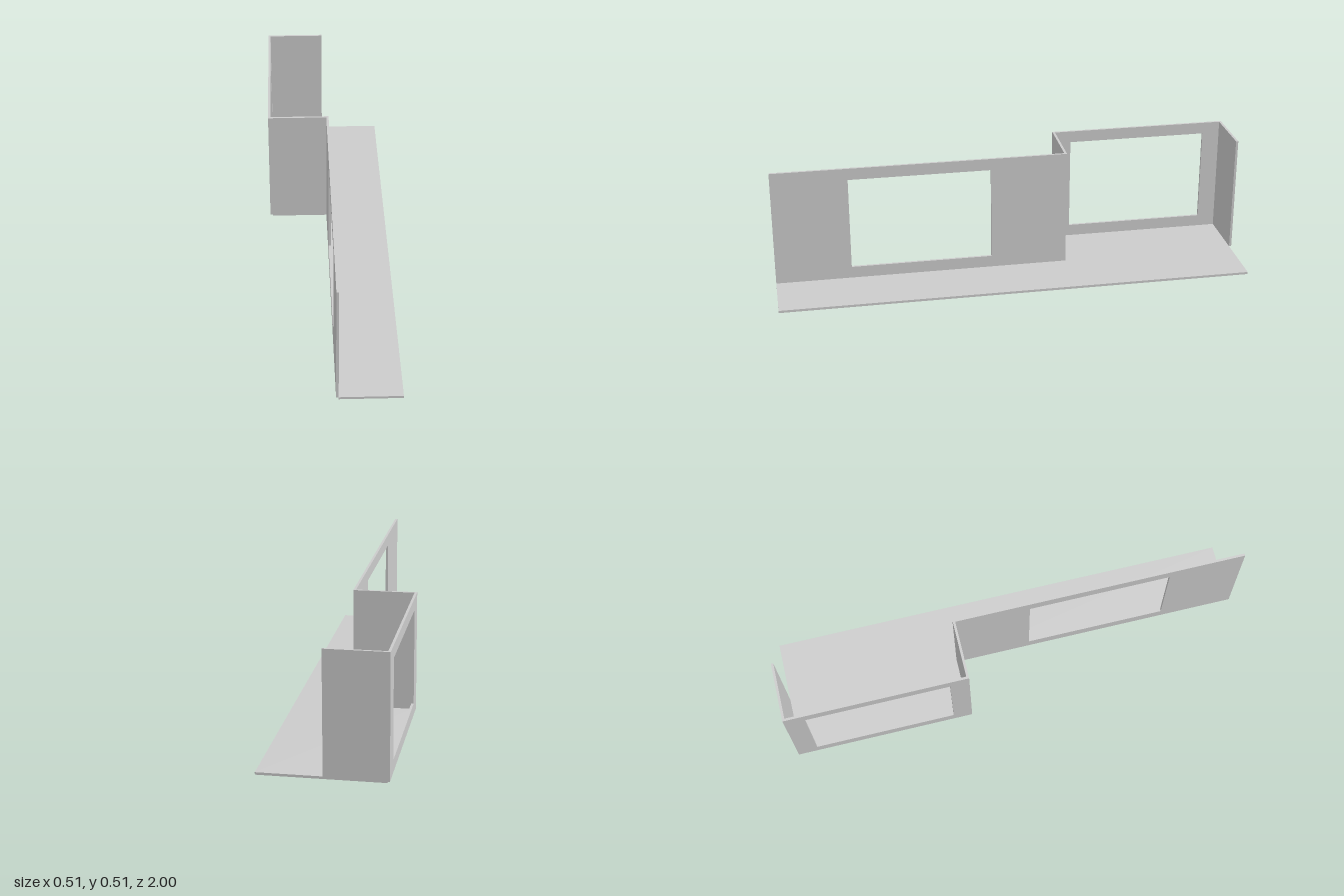
import * as THREE from 'three';

const material = new THREE.MeshStandardMaterial({ color: 0xcccccc, flatShading: true });
const T = 0.01;                 // sheet thickness
const BASE = 0.01, TOP = 0.51;  // wall bottom and top
const SILL = 0.06, HEAD = 0.46; // window bottom and top

function addMesh(group, name, geometry) {
  const mesh = new THREE.Mesh(geometry, material);
  mesh.name = name;
  group.add(mesh);
}

function outline(points, Type = THREE.Shape) {
  return new Type(points.map(([x, y]) => new THREE.Vector2(x, y)));
}

const rectangle = (a0, a1, b0, b1) => [[a0, b0], [a1, b0], [a1, b1], [a0, b1]];

// Wall along z, centred on x, with one window opening
function windowWall(x, z0, z1, w0, w1) {
  const shape = outline(rectangle(-z1, -z0, BASE, TOP));
  shape.holes.push(outline(rectangle(-w1, -w0, SILL, HEAD).reverse(), THREE.Path));
  const geometry = new THREE.ExtrudeGeometry(shape, { depth: T, bevelEnabled: false });
  return geometry.rotateY(Math.PI / 2).translate(x - T / 2, 0, 0);
}

// Plain wall along x
function plainWall(x0, x1, z) {
  return new THREE.BoxGeometry(x1 - x0, TOP - BASE, T)
    .translate((x0 + x1) / 2, (BASE + TOP) / 2, z);
}

export function createModel() {
  const group = new THREE.Group();
  group.name = 'roomShell';

  // L-shaped floor slab, drawn as (x, -z) and laid flat
  const floor = outline([
    [0.005, -1], [0.253, -1], [0.253, 0.99], [-0.245, 0.99], [-0.245, 0.24], [0.005, 0.24],
  ]);
  addMesh(group, 'floor',
    new THREE.ExtrudeGeometry(floor, { depth: T, bevelEnabled: false }).rotateX(-Math.PI / 2));

  // Window walls
  addMesh(group, 'longWindowWall', windowWall(0, -0.24, 1, 0.08, 0.68));
  addMesh(group, 'bayWindowWall', windowWall(-0.25, -0.99, -0.24, -0.915, -0.315));

  // Walls closing the bay
  addMesh(group, 'bayFrontWall', plainWall(-0.255, 0.005, -0.24));
  addMesh(group, 'backWall', plainWall(-0.255, -0.005, -0.995));

  return group;
}
